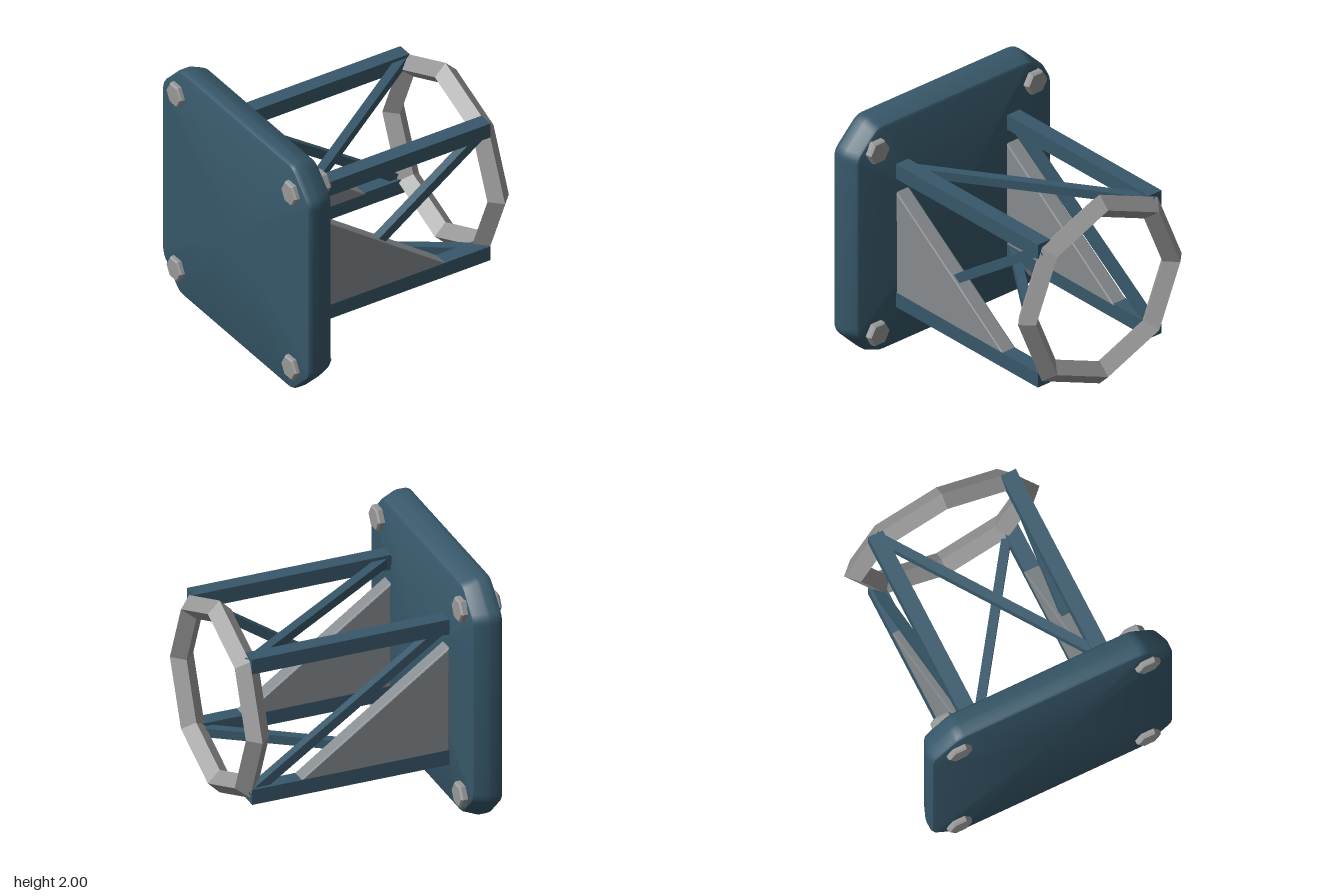
import * as THREE from 'three';
import { toCreasedNormals } from 'three/addons/utils/BufferGeometryUtils.js';

const mat = (name, color) => {
  const m = new THREE.MeshStandardMaterial({ color });
  m.name = name;
  return m;
};

// Faceted normals for low-poly parts
function faceted(g) {
  const f = g.index ? g.toNonIndexed() : g;
  f.computeVertexNormals();
  return f;
}

// Octagonal plate outline with softened corners, in the (z, y) plane
function plateOutline(inset) {
  const h = 1 - inset, a = 0.77 - inset * 0.414;
  const corners = [[h, -a], [h, a], [a, h], [-a, h], [-h, a], [-h, -a], [-a, -h], [a, -h]]
    .map(([u, v]) => new THREE.Vector2(u, v));
  const out = [];
  corners.forEach((c, i) => {
    const toward = (o) => c.clone().add(o.clone().sub(c).setLength(0.05));
    const p = toward(corners[(i + 7) % 8]), n = toward(corners[(i + 1) % 8]);
    for (const t of [0, 0.33, 0.67, 1]) {
      out.push(p.clone().multiplyScalar((1 - t) ** 2)
        .addScaledVector(c, 2 * t * (1 - t)).addScaledVector(n, t * t));
    }
  });
  return out;
}

// Plate skinned through outlines along x, closed at both ends
function plateGeometry() {
  const profile = [[-0.96, 0.03], [-0.953, 0.012], [-0.935, 0.002], [-0.915, 0], [-0.86, 0],
    [-0.84, 0.004], [-0.75, 0.038], [-0.735, 0.048], [-0.725, 0.068]];
  const pos = [], idx = [];
  const count = plateOutline(0).length;
  for (const [x, inset] of profile) {
    for (const p of plateOutline(inset)) pos.push(x, 1 + p.y, p.x);
  }
  for (let r = 0; r < profile.length - 1; r++) {
    for (let i = 0; i < count; i++) {
      const j = (i + 1) % count;
      const a = r * count + i, b = r * count + j, c = a + count, d = b + count;
      idx.push(a, b, c, b, d, c);
    }
  }
  const last = (profile.length - 1) * count;
  const back = pos.length / 3, front = back + 1;
  pos.push(profile[0][0], 1, 0, profile.at(-1)[0], 1, 0);
  for (let i = 0; i < count; i++) {
    const j = (i + 1) % count;
    idx.push(back, j, i, front, last + i, last + j);
  }
  const g = new THREE.BufferGeometry();
  g.setAttribute('position', new THREE.Float32BufferAttribute(pos, 3));
  g.setIndex(idx);
  // Make sure the skin faces outwards
  const v = (k) => new THREE.Vector3().fromArray(pos, k * 3);
  const mid = 3 * count, A = v(mid), B = v(mid + 1), C = v(mid + count);
  if (B.sub(A).cross(C.sub(A)).dot(A.setX(0).sub(new THREE.Vector3(0, 1, 0))) < 0) {
    for (let k = 0; k < idx.length; k += 3) [idx[k], idx[k + 1]] = [idx[k + 1], idx[k]];
    g.setIndex(idx);
  }
  return toCreasedNormals(g, 0.5);
}

export function createModel() {
  const blue = mat('blue paint', 0x37586a);
  const steel = mat('light steel', 0x989898);
  const grey = mat('gusset grey', 0x868b8f);
  const model = new THREE.Group();
  model.name = 'trussBracket';
  const add = (name, geo, m, x = 0, y = 0, z = 0) => {
    const mesh = new THREE.Mesh(geo, m);
    mesh.name = name;
    mesh.position.set(x, y, z);
    model.add(mesh);
    return mesh;
  };

  add('mountingPlate', plateGeometry(), blue);

  // Hex bolts through the plate corners
  const boltGeo = faceted(new THREE.LatheGeometry([
    [0, -0.165], [0.088, -0.165], [0.1, -0.15], [0.1, 0.15], [0.088, 0.165], [0, 0.165],
  ].map(([r, y]) => new THREE.Vector2(r, y)), 6));
  boltGeo.rotateZ(Math.PI / 2);

  // Four long rails
  const railGeo = new THREE.BoxGeometry(1.595, 0.124, 0.124);
  for (const sy of [-1, 1]) {
    for (const sz of [-1, 1]) {
      add('bolt', boltGeo, steel, -0.837, 1 + sy * 0.78, sz * 0.78);
      add('rail', railGeo, blue, 0.107, 1 + sy * 0.55, sz * 0.55);
    }
  }

  // One diagonal brace on each side of the frame
  const angle = Math.atan2(1.1, 1.59);
  const braceGeo = new THREE.BoxGeometry(Math.hypot(1.1, 1.59), 0.072, 0.072);
  for (const s of [-1, 1]) {
    add('sideBrace', braceGeo, blue, 0.107, 1, s * 0.55).rotation.z = s * angle;
    add('crossBrace', braceGeo, blue, 0.107, 1 + s * 0.55, 0).rotation.y = s * angle;
  }

  // Triangular gussets above the lower rails
  const triangle = new THREE.Shape([
    new THREE.Vector2(-0.69, 0.5), new THREE.Vector2(0.52, 0.5), new THREE.Vector2(-0.69, 1.37),
  ]);
  const gussetGeo = new THREE.ExtrudeGeometry(triangle, {
    depth: 0.1, bevelThickness: 0.014, bevelSize: 0.014, bevelOffset: -0.014, bevelSegments: 2,
  });
  gussetGeo.translate(0, 0, -0.05);
  for (const s of [-1, 1]) add('gusset', gussetGeo, grey, 0, 0, s * 0.546);

  // Octagonal end ring with a diamond section
  const ringGeo = faceted(new THREE.TorusGeometry(0.714, 0.095, 4, 8));
  ringGeo.rotateY(Math.PI / 2);
  add('endRing', ringGeo, steel, 0.905, 1, 0);

  return model;
}
